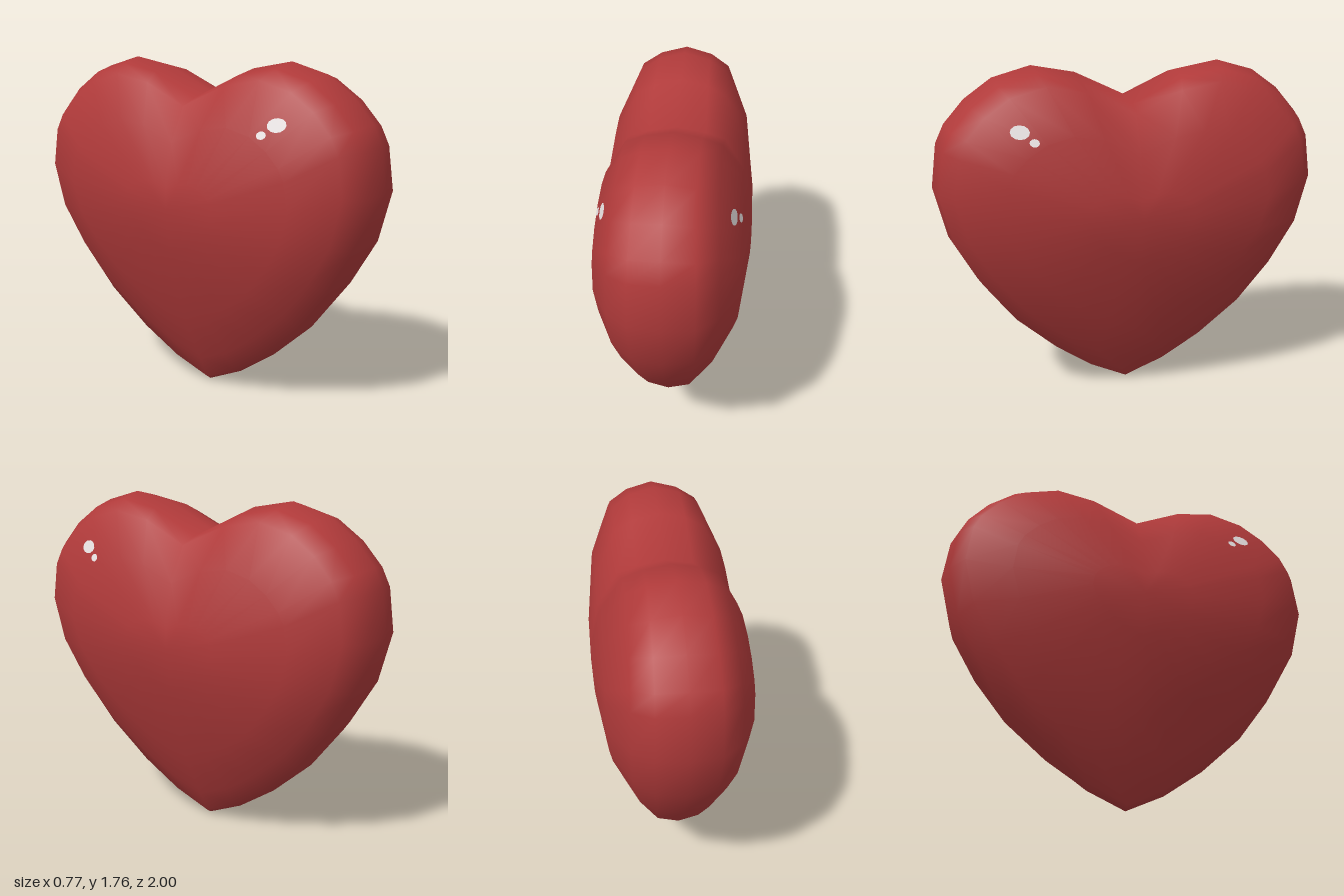
import * as THREE from 'three';

// Half outline of the heart as [z, y], from the bottom tip to the notch
const HALF = [
  [0, 0], [0.2, 0.09], [0.41, 0.235], [0.63, 0.435], [0.8, 0.66], [0.935, 0.9], [1, 1.165],
  [0.97, 1.39], [0.925, 1.485], [0.82, 1.605], [0.68, 1.705], [0.485, 1.76], [0.265, 1.72], [0, 1.595],
];
const OUTLINE = [...HALF, ...HALF.slice(1, -1).reverse().map(([z, y]) => [-z, y])];

// Cross-sections from rim to cheek: half thickness, z scale, lowest y, highest y
const SECTIONS = [
  [0, 1, 0, 1.76], [0.15, 0.97, 0.025, 1.73], [0.25, 0.9, 0.15, 1.68],
  [0.345, 0.67, 0.39, 1.46], [0.385, 0.27, 0.8, 1.17],
];

// The heart thins towards its tip and slightly towards its top
function taper(y) {
  return y < 1.17 ? 1 - 0.8 * ((1.17 - y) / 1.17) ** 2 : 1 - 0.4 * (y - 1.17) ** 2;
}

function heartGeometry() {
  const positions = [], index = [], n = OUTLINE.length;
  const rings = [
    ...SECTIONS.slice(1).reverse().map((s) => [1, ...s]),
    ...SECTIONS.map((s) => [-1, ...s]),
  ];
  for (const [side, thick, scaleZ, low, high] of rings) {
    for (const [z, y] of OUTLINE) {
      const h = low + (y / 1.76) * (high - low);
      positions.push(side * thick * taper(h), h, z * scaleZ);
    }
  }
  const centre = positions.length / 3, last = (rings.length - 1) * n;
  positions.push(0.387, 1.03, 0, -0.387, 1.03, 0);
  for (let j = 0; j < n; j++) {
    const k = (j + 1) % n;
    for (let i = 0; i < last; i += n) {
      index.push(i + j, i + k, i + n + j, i + k, i + n + k, i + n + j);
    }
    index.push(centre, k, j, centre + 1, last + j, last + k);
  }
  const geometry = new THREE.BufferGeometry();
  geometry.setAttribute('position', new THREE.Float32BufferAttribute(positions, 3));
  geometry.setIndex(index);
  geometry.computeVertexNormals();
  return geometry;
}

// Oval patch laid on one cheek of the heart
function glint(body, side, z, y, rz, ry, material) {
  const geometry = new THREE.CircleGeometry(1, 12);
  const p = geometry.attributes.position;
  const ray = new THREE.Raycaster();
  for (let i = 0; i < p.count; i++) {
    const pz = z + p.getX(i) * rz, py = y + p.getY(i) * ry;
    ray.set(new THREE.Vector3(side, py, pz), new THREE.Vector3(-side, 0, 0));
    const hit = ray.intersectObject(body)[0];
    p.setXYZ(i, (hit ? hit.point.x : side * 0.29) + side * 0.006, py, pz);
  }
  // Face outwards on both cheeks
  if (side > 0) geometry.index.array.reverse();
  geometry.computeVertexNormals();
  return new THREE.Mesh(geometry, material);
}

export function createModel() {
  const red = new THREE.MeshStandardMaterial({ color: 0xb03a3a });
  red.name = 'heart red';
  const white = new THREE.MeshStandardMaterial({ color: 0xe6e0e0, side: THREE.DoubleSide });
  white.name = 'glint white';

  const group = new THREE.Group();
  group.name = 'heart';
  const body = new THREE.Mesh(heartGeometry(), red);
  body.name = 'heartBody';
  group.add(body);

  // A large and a small glint on each cheek
  for (const side of [1, -1]) {
    const large = glint(body, side, 0.58, 1.485, 0.047, 0.033, white);
    const small = glint(body, side, 0.515, 1.437, 0.024, 0.019, white);
    large.name = side > 0 ? 'leftLargeGlint' : 'rightLargeGlint';
    small.name = side > 0 ? 'leftSmallGlint' : 'rightSmallGlint';
    group.add(large, small);
  }
  return group;
}
